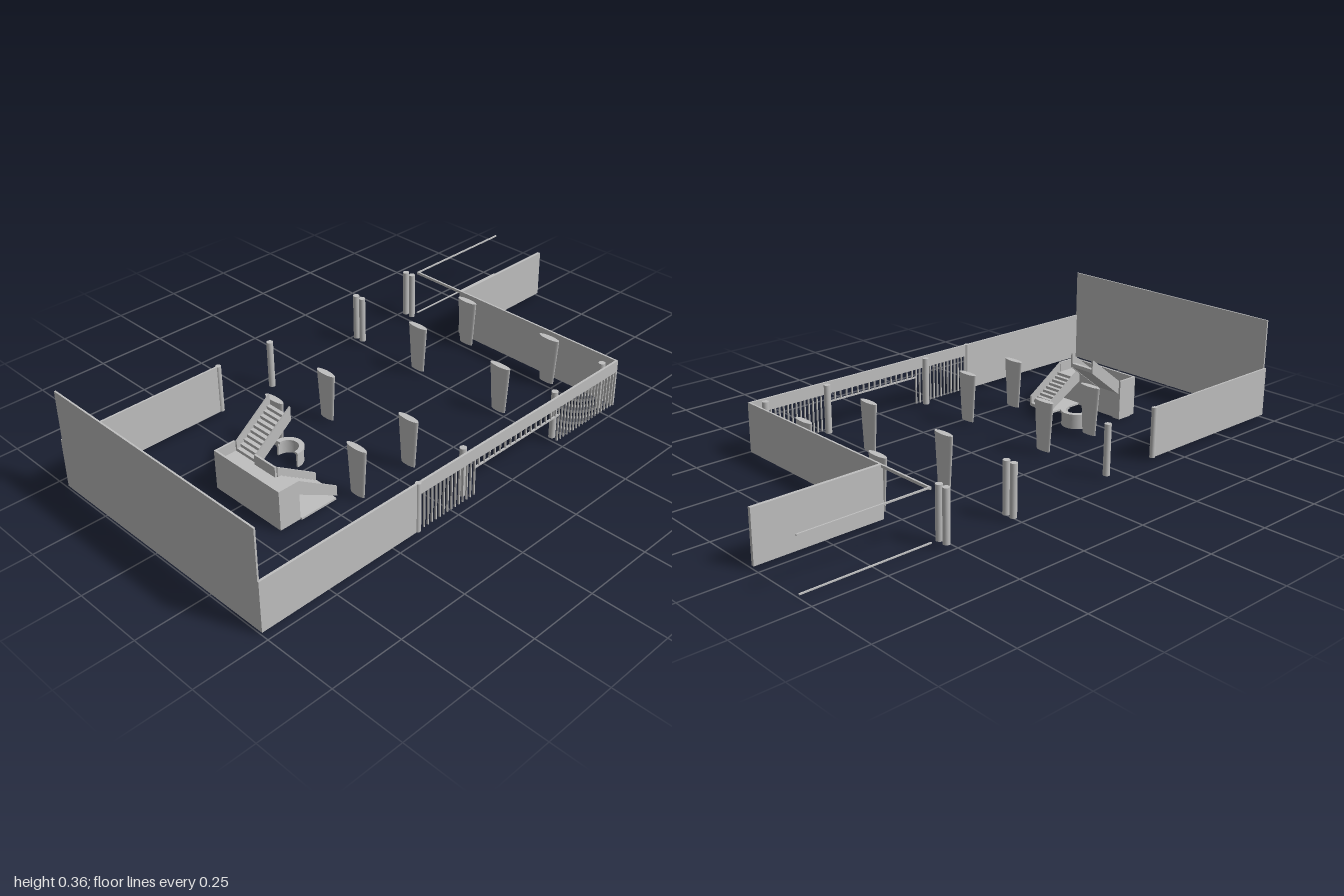
import * as THREE from 'three';

const FLOOR = 0.01, TOP = 0.185;

export function createModel() {
  const model = new THREE.Group();
  model.name = 'lobbyBuilding';
  const grey = new THREE.MeshStandardMaterial({ color: 0xbfbfbf });
  grey.name = 'plainGrey';

  const add = (name, geometry, parent = model) => {
    const mesh = new THREE.Mesh(geometry, grey);
    mesh.name = name;
    parent.add(mesh);
    return mesh;
  };
  const group = (name) => {
    const g = new THREE.Group();
    g.name = name;
    model.add(g);
    return g;
  };
  // Box given by its limits on each axis
  const box = (name, x0, x1, y0, y1, z0, z1, parent) => {
    const m = add(name, new THREE.BoxGeometry(x1 - x0, y1 - y0, z1 - z0), parent);
    m.position.set((x0 + x1) / 2, (y0 + y1) / 2, (z0 + z1) / 2);
    return m;
  };
  // Outline in x and y, extruded from z0 to z1
  const prism = (name, points, z0, z1, parent) => {
    const shape = new THREE.Shape(points.map(([x, y]) => new THREE.Vector2(x, y)));
    const g = new THREE.ExtrudeGeometry(shape, { depth: z1 - z0, bevelEnabled: false });
    add(name, g, parent).position.z = z0;
  };

  // Outer walls
  const walls = group('outerWalls');
  box('tallLeftWall', -1, -0.994, FLOOR, 0.36, -0.44, 0.473, walls);
  box('backWall', -1, -0.4, FLOOR, TOP, -0.447, -0.44, walls);
  box('frontWall', -1, -0.395, FLOOR, TOP, 0.469, 0.477, walls);
  box('frontFascia', -0.395, 0.557, 0.142, TOP, 0.469, 0.477, walls);
  box('sideWall', 0.55, 0.557, FLOOR, TOP, -0.223, 0.477, walls);
  box('sideLintel', 0.55, 0.557, 0.176, TOP, -0.446, -0.223, walls);
  box('wingWall', 0.55, 1, FLOOR, TOP, -0.229, -0.218, walls);
  box('wingTopRail', 0.55, 1, TOP - 0.005, TOP, -0.446, -0.441, walls);
  box('wingBottomRail', 0.55, 1, FLOOR, FLOOR + 0.004, -0.446, -0.441, walls);

  // Slatted front with a raised entrance in the middle
  const screen = group('frontScreen');
  const slats = (x0, x1, count, y0) => {
    for (let i = 0; i <= count; i++) {
      const x = x0 + (x1 - x0) * i / count;
      box('slat', x - 0.002, x + 0.002, y0, 0.142, 0.47, 0.476, screen);
    }
  };
  slats(-0.39, -0.153, 14, FLOOR);
  slats(0.253, 0.54, 17, FLOOR);
  slats(-0.135, 0.235, 15, 0.111);
  box('entranceTransom', -0.153, 0.253, 0.109, 0.114, 0.47, 0.476, screen);

  // Round columns
  const columns = group('roundColumns');
  const column = (x, z, r) => add('column', new THREE.CylinderGeometry(r, r, TOP - FLOOR, 20), columns)
    .position.set(x, (TOP + FLOOR) / 2, z);
  for (const z of [-0.444, 0.473]) column(-0.4, z, 0.0095);
  for (const [x, z] of [[-0.178, -0.443], [0.26, -0.443], [0.52, -0.443], [0.26, -0.474],
    [0.52, -0.474], [-0.178, 0.447], [0.26, 0.447], [0.508, 0.447]]) column(x, z, 0.0115);

  // Lens-shaped pillars, narrower at the foot
  const pillars = group('lensPillars');
  for (const x of [-0.4, -0.178, 0.258, 0.515]) {
    for (const z of [-0.16, 0.218]) {
      const m = add('lensPillar', new THREE.CylinderGeometry(1, 0.7, TOP - FLOOR, 28), pillars);
      m.scale.set(0.012, 1, 0.042);
      m.position.set(x, (TOP + FLOOR) / 2, z);
    }
  }

  // Stair landing with parapet
  const stairs = group('staircase');
  const LAND = 0.108, RIM = 0.144;
  box('landing', -0.678, -0.6, FLOOR, LAND, -0.12, 0.18, stairs);
  box('landingParapet', -0.678, -0.671, LAND, RIM, -0.12, 0.18, stairs);
  box('landingParapet', -0.671, -0.6, LAND, RIM, -0.12, -0.113, stairs);
  box('landingParapet', -0.671, -0.6, LAND, RIM, 0.173, 0.18, stairs);
  box('landingParapet', -0.607, -0.6, LAND, RIM, -0.016, 0.08, stairs);
  box('landingBase', -0.678, -0.6, 0.003, FLOOR, -0.12, 0.18, stairs);
  box('flightBase', -0.6, -0.46, 0.003, FLOOR, 0.078, 0.186, stairs);
  box('footing', -0.66, -0.6, 0, 0.003, -0.12, -0.09, stairs);

  // A flight of steps with a sloping panel on each side
  const flight = (x0, y0, x1, y1, z0, z1) => {
    const steps = 10, dx = (x1 - x0) / steps, dy = (y1 - y0) / steps;
    const outline = [[x0, y0 - 0.012]];
    for (let i = 0; i < steps; i++) {
      const y = y0 + dy * (dy > 0 ? i + 1 : i);
      outline.push([x0 + dx * i, y], [x0 + dx * (i + 1), y]);
    }
    outline.push([x1, Math.max(FLOOR, y1 - 0.012)]);
    prism('steps', outline, z0 + 0.006, z1 - 0.006, stairs);
    const panel = [[x0, y0 - 0.014], [x1, Math.max(FLOOR, y1 - 0.014)], [x1, y1 + 0.036], [x0, y0 + 0.036]];
    for (const z of [z0, z1 - 0.006]) prism('stairSidePanel', panel, z, z + 0.006, stairs);
  };
  flight(-0.6, LAND, -0.46, 0.216, -0.113, -0.01);
  flight(-0.6, LAND, -0.45, FLOOR, 0.078, 0.18);

  // Curved reception desk
  const desk = group('receptionDesk');
  const arc = (name, inner, outer, y0, y1) => {
    const s = new THREE.Shape();
    s.absarc(0, 0, outer, -Math.PI / 2 - 0.1, Math.PI / 2 + 0.1, false);
    s.absarc(0, 0, inner, Math.PI / 2 + 0.1, -Math.PI / 2 - 0.1, true);
    const g = new THREE.ExtrudeGeometry(s, { depth: y1 - y0, bevelEnabled: false, curveSegments: 24 });
    g.rotateX(-Math.PI / 2);
    add(name, g, desk).position.set(-0.433, y0, -0.065);
  };
  arc('deskFront', 0.043, 0.05, FLOOR, 0.056);
  arc('deskTop', 0.035, 0.053, 0.056, 0.064);

  return model;
}
